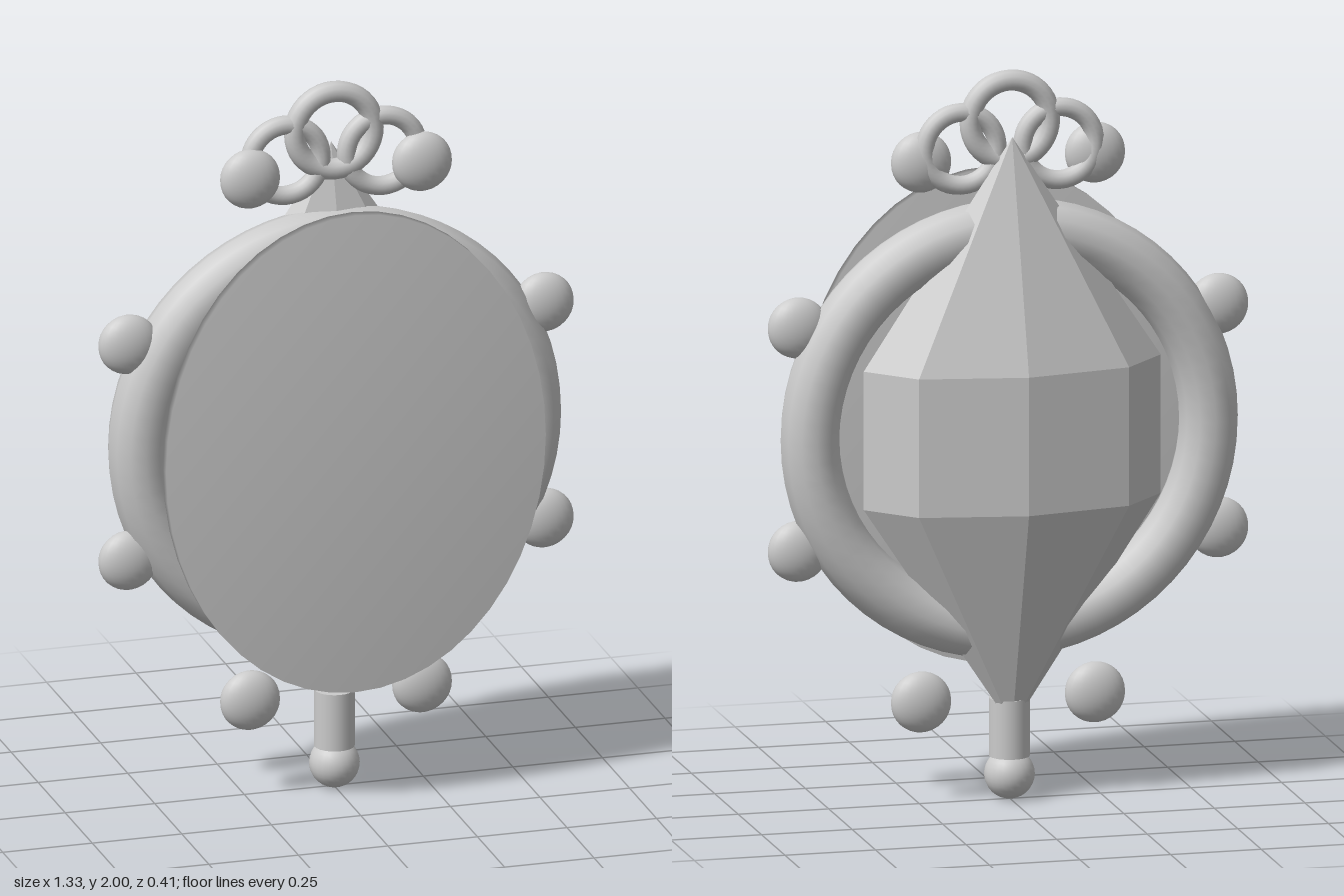
import * as THREE from 'three';
import { mergeVertices } from 'three/addons/utils/BufferGeometryUtils.js';

const CENTRE_Y = 1.015;

export function createModel() {
  const model = new THREE.Group();
  model.name = 'gemPendant';
  const smooth = new THREE.MeshStandardMaterial({ color: 0xcccccc });
  const faceted = new THREE.MeshStandardMaterial({ color: 0xcccccc, flatShading: true });

  function add(name, geometry, x, y, z, material = smooth) {
    const mesh = new THREE.Mesh(geometry, material);
    mesh.name = name;
    mesh.position.set(x, y, z);
    model.add(mesh);
    return mesh;
  }

  // Oval front plate, with shading blended over its rim
  let plate = new THREE.CylinderGeometry(1, 1, 0.03, 48);
  plate.rotateX(Math.PI / 2);
  plate.scale(0.53, 0.677, 1);
  plate.deleteAttribute('uv');
  plate.deleteAttribute('normal');
  plate = mergeVertices(plate);
  plate.computeVertexNormals();
  add('frontPlate', plate, 0, 1.012, 0.19);

  // Round frame
  add('frameRing', new THREE.TorusGeometry(0.55, 0.081, 12, 64), 0, CENTRE_Y, 0.007);

  // Eight-sided gem: pointed ends and a straight middle band
  const gemProfile = [[0, -0.81], [1, -0.19], [1, 0.19], [0, 0.81]]
    .map(([r, y]) => new THREE.Vector2(r, y));
  const gem = new THREE.LatheGeometry(gemProfile, 8);
  gem.scale(0.41, 1, 0.18);
  add('gem', gem, 0, 1.01, -0.025, faceted);

  // Top loops
  add('topLoop', new THREE.TorusGeometry(0.11, 0.029, 12, 40), 0, 1.861, 0);
  const sideLoop = new THREE.TorusGeometry(0.1, 0.026, 12, 40);

  // Mirrored side loops and flattened beads
  const bead = new THREE.SphereGeometry(0.083, 24, 16);
  bead.scale(1, 1, 0.54);
  const beadSpots = [[0.24, 1.755], [0.58, 1.32], [0.58, 0.707], [0.24, 0.274]];
  for (const side of [1, -1]) {
    const label = side > 0 ? 'left' : 'right';
    add(label + 'Loop', sideLoop, side * 0.135, 1.79, 0);
    beadSpots.forEach(([x, y], i) => add(`${label}Bead${i + 1}`, bead, side * x, y, 0.02));
  }

  // Bottom post and its ball end
  add('post', new THREE.CylinderGeometry(0.055, 0.055, 0.16, 24), 0, 0.197, 0.005);
  add('postBall', new THREE.SphereGeometry(0.068, 24, 16), 0, 0.068, 0.005);

  return model;
}
